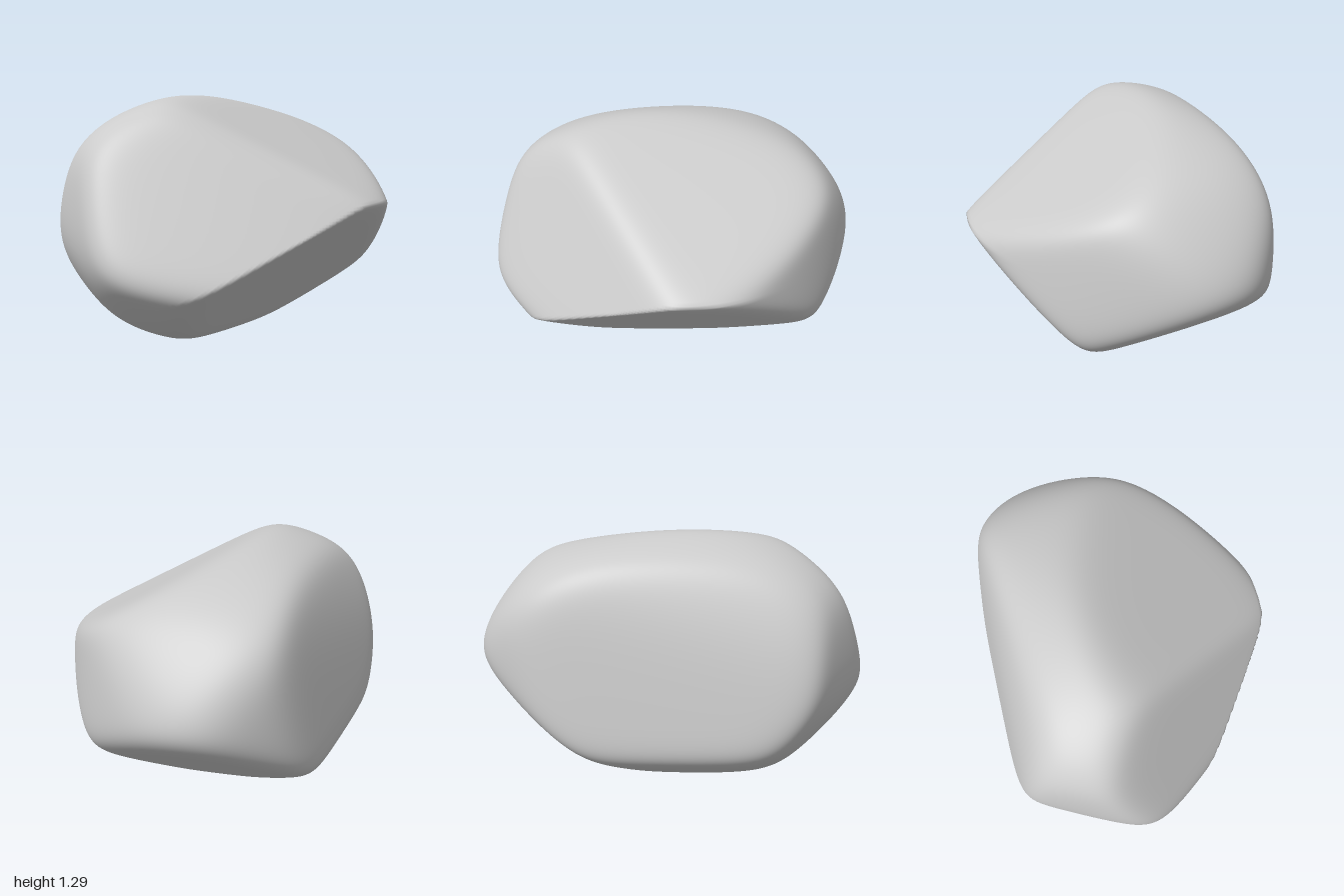
import * as THREE from 'three';
import { mergeVertices } from 'three/addons/utils/BufferGeometryUtils.js';

const CENTER = new THREE.Vector3(-0.1, 0.65, 0.03);
const RADII = new THREE.Vector3(0.94, 0.7, 1.045);
const SOFTNESS = 18;

// worn facets: outward normal and distance from the origin
const facet = (x, y, z, offset) => {
  const normal = new THREE.Vector3(x, y, z).normalize();
  return { normal, reach: offset - normal.dot(CENTER) };
};
const bodyFacets = [
  facet(-0.985, 0.14, -0.08, 0.79), // side
  facet(-0.906, 0.423, 0, 1.02), // upper side
  facet(-0.79, 0, -0.61, 0.925), // rear side corner
  facet(-0.5, 0.1, 0.86, 1.05), // front side corner
  facet(-0.355, 0.935, 0, 1.36), // side of the crest
  facet(0, 0.97, -0.22, 1.32), // rear of the crest
  facet(0.85, 0.1, -0.5, 0.84), // rear corner, rounded in three steps
  facet(0.7, 0.1, -0.7, 0.875),
  facet(0.5, 0.1, -0.85, 0.93),
  facet(0, 0.6, -0.8, 1.3), // rear shoulder
  facet(-0.1, -0.8, -0.6, 0.14), // rear underside
  facet(-0.58, -0.81, 0, 0.22), // side underside
  facet(-0.5, -0.5, 0.7, 0.605), // front lower corner
  facet(0.3, -0.72, 0.62, 0.34), // front lower corner by the overhang
  facet(0, -0.82, 0.57, 0.27), // front underside
  facet(0, -1, 0, 0.005), // base
];
const slopeFacets = [
  facet(0.48, 0.88, 0, 1.06), // upper slope
  facet(0.555, 0.434, 0.71, 0.88), // front slope
];
const overhang = facet(0.68, -0.73, 0.11, -0.02);

const pressure = (dir, facets) => facets.reduce(
  (sum, { normal, reach }) => sum + Math.pow(Math.max(0, normal.dot(dir) / reach), SOFTNESS), 0);

// distance to the surface along a direction: facets blend softly,
// but the slopes meet the overhang in a sharp edge
function surfaceRadius(dir) {
  const body = Math.pow(dir.clone().divide(RADII).length(), SOFTNESS) + pressure(dir, bodyFacets);
  const cut = Math.max(pressure(dir, slopeFacets), pressure(dir, [overhang]));
  return Math.pow(body + cut, -1 / SOFTNESS);
}

export function createModel() {
  const group = new THREE.Group();
  group.name = 'rock';

  // ball pressed into a faceted stone
  let geometry = new THREE.IcosahedronGeometry(1, 64);
  geometry.deleteAttribute('uv');
  geometry.deleteAttribute('normal');
  geometry = mergeVertices(geometry, 1e-5);
  const position = geometry.attributes.position;
  const v = new THREE.Vector3();
  for (let i = 0; i < position.count; i++) {
    v.fromBufferAttribute(position, i).normalize();
    v.multiplyScalar(surfaceRadius(v)).add(CENTER);
    position.setXYZ(i, v.x, v.y, v.z);
  }

  // stand on the ground, centred
  geometry.computeBoundingBox();
  const { min, max } = geometry.boundingBox;
  geometry.translate(-(min.x + max.x) / 2, -min.y, -(min.z + max.z) / 2);
  geometry.computeVertexNormals();

  const stone = new THREE.Mesh(geometry, new THREE.MeshStandardMaterial({ color: 0xcccccc }));
  stone.name = 'stone';
  group.add(stone);
  return group;
}
